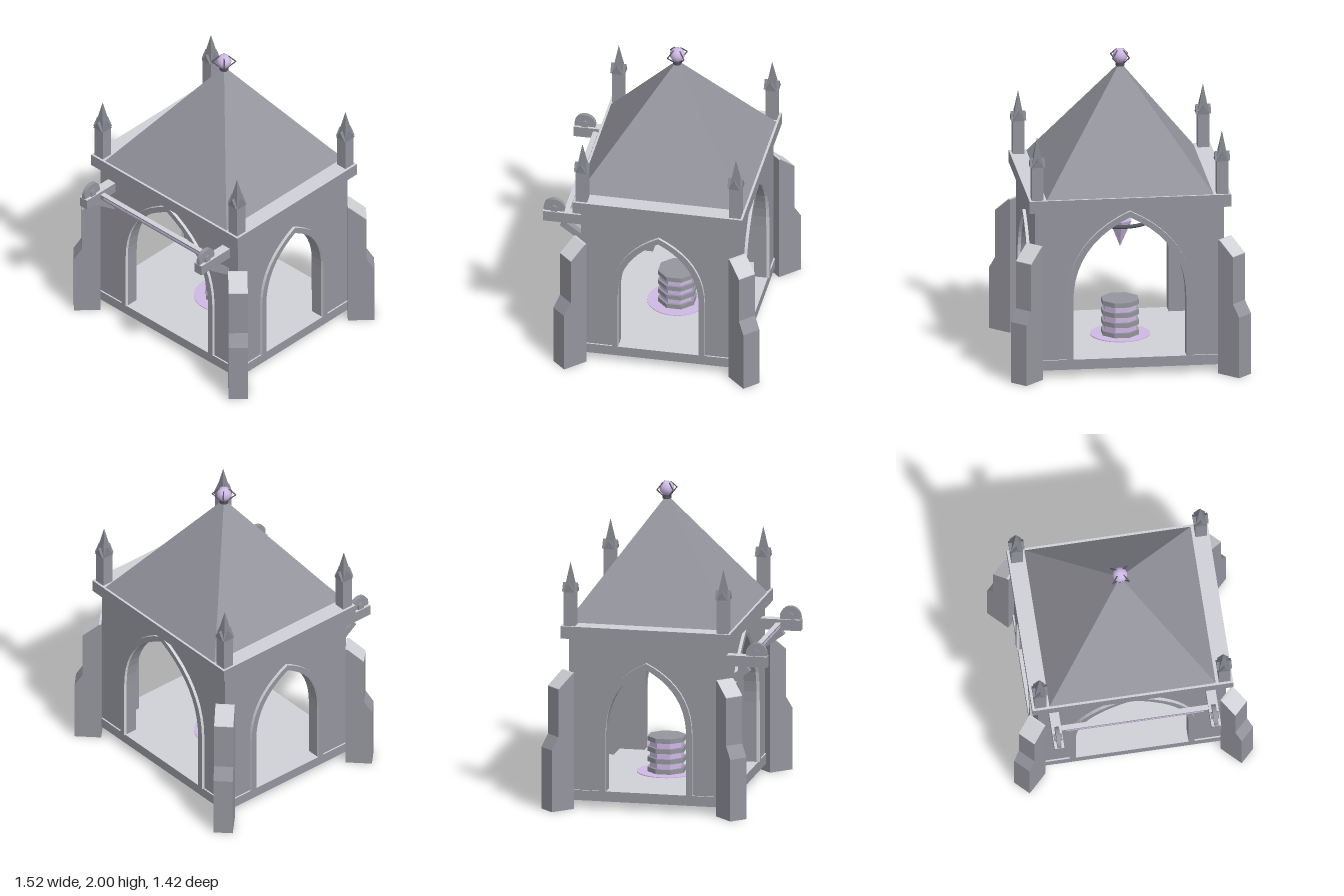
import * as THREE from 'three';

const mat = (name, color) => {
  const m = new THREE.MeshStandardMaterial({ color });
  m.name = name;
  return m;
};

export function createModel() {
  const stone = mat('stone', 0x94959d);
  const pale = mat('paleStone', 0xd0d1d6);
  const slate = mat('slate', 0x82848c);
  const iron = mat('iron', 0x55555d);
  const lilac = mat('lilac', 0xcdb8e4);
  const paleTop = [stone, stone, pale, stone, stone, stone]; // box with a pale upper face

  const model = new THREE.Group();
  model.name = 'shrine';
  const building = new THREE.Group();
  building.name = 'building';
  building.position.z = -0.045;
  model.add(building);

  const add = (parent, name, geo, material, x = 0, y = 0, z = 0) => {
    const m = new THREE.Mesh(geo, material);
    m.name = name;
    m.position.set(x, y, z);
    parent.add(m);
    return m;
  };
  const box = (w, h, d) => new THREE.BoxGeometry(w, h, d);
  const extrude = (shape, depth) =>
    new THREE.ExtrudeGeometry(shape, { depth, bevelEnabled: false, curveSegments: 10 });
  const polygon = (pts) => new THREE.Shape(pts.map(([x, y]) => new THREE.Vector2(x, y)));
  // four-sided pyramid with flat faces and its base at y = 0
  const pyramid = (half, h) => {
    const g = new THREE.ConeGeometry(half * Math.SQRT2, h, 4).rotateY(Math.PI / 4).toNonIndexed();
    g.computeVertexNormals();
    return g.translate(0, h / 2, 0);
  };
  // flat-sided prism with a face toward the front
  const octagon = (apothem, h) => {
    const r = apothem / Math.cos(Math.PI / 8);
    const g = new THREE.CylinderGeometry(r, r, h, 8).rotateY(Math.PI / 8).toNonIndexed();
    g.computeVertexNormals();
    return g;
  };
  const rod = (parent, name, a, b, r, material) => {
    const p = new THREE.Vector3(...a), q = new THREE.Vector3(...b);
    const m = add(parent, name, new THREE.CylinderGeometry(r, r, p.distanceTo(q), 8), material);
    m.position.copy(p).add(q).multiplyScalar(0.5);
    m.quaternion.setFromUnitVectors(new THREE.Vector3(0, 1, 0), q.sub(p).normalize());
  };

  // floor, eaves and roof
  add(building, 'floor', box(1.22, 0.065, 1.02), paleTop, 0, 0.0825, 0);
  add(building, 'eaves', box(1.28, 0.08, 1.09), paleTop, 0, 1.14, 0);
  add(building, 'roof', pyramid(0.53, 0.73), stone, 0, 1.18, 0);

  // walls with pointed arches and raised, pale-edged mouldings
  const base = 0.115;
  const arch = (s, w, spring, peak) => {
    const bend = spring + (peak - spring) * 0.68;
    s.lineTo(-w, base);
    s.lineTo(-w, spring);
    s.quadraticCurveTo(-w, bend, 0, peak);
    s.quadraticCurveTo(w, bend, w, spring);
    s.lineTo(w, base);
  };
  const wall = (name, half, dist, w, peak, turn) => {
    const g = new THREE.Group();
    g.name = name;
    g.rotation.y = turn;
    const s = new THREE.Shape();
    s.moveTo(-half, base);
    arch(s, w, 0.5, peak);
    s.lineTo(half, base);
    s.lineTo(half, 1.1);
    s.lineTo(-half, 1.1);
    add(g, 'wallPanel', extrude(s, 0.08), stone, 0, 0, dist - 0.08);
    const band = new THREE.Shape();
    band.moveTo(-w - 0.037, base);
    arch(band, w + 0.037, 0.51, peak + 0.04);
    band.lineTo(w, base);
    const inner = new THREE.Shape();
    inner.moveTo(-w, base);
    arch(inner, w, 0.5, peak);
    inner.getPoints(10).reverse().forEach((p) => band.lineTo(p.x, p.y));
    add(g, 'archMoulding', extrude(band, 0.02), [stone, pale], 0, 0, dist);
    building.add(g);
  };
  wall('frontWall', 0.6, 0.5, 0.36, 1.045, 0);
  wall('backWall', 0.6, 0.5, 0.36, 1.045, Math.PI);
  wall('leftWall', 0.42, 0.6, 0.26, 0.92, Math.PI / 2);
  wall('rightWall', 0.42, 0.6, 0.26, 0.92, -Math.PI / 2);

  // diagonal buttresses with pale caps, and roof pinnacles on the corners
  const buttress = extrude(polygon([[0, 0], [0.168, 0], [0.168, 0.4], [0.118, 0.48],
    [0.118, 0.788], [0.012, 0.878], [0, 0.878]]), 0.122).translate(0, 0, -0.061);
  const cap = extrude(polygon([[0, 0.878], [0.012, 0.878], [0.118, 0.788],
    [0.118, 0.792], [0.014, 0.882], [0, 0.882]]), 0.122).translate(0, 0, -0.061);
  const gable = extrude(polygon([[-0.036, 0], [0.036, 0], [0, 0.055]]), 0.096).translate(0, 0, -0.048);
  for (const sx of [-1, 1]) for (const sz of [-1, 1]) {
    for (const [name, geo, material] of [['buttress', buttress, stone], ['buttressCap', cap, pale]]) {
      const b = add(building, name, geo, material, sx * 0.6, 0, sz * 0.5);
      b.rotation.y = Math.atan2(-sz, sx);
    }
    const p = new THREE.Group();
    p.name = 'pinnacle';
    p.position.set(sx * 0.587, 1.18, sz * 0.493);
    add(p, 'pinnaclePost', box(0.074, 0.22, 0.074), stone, 0, 0.11, 0);
    add(p, 'pinnacleSpire', pyramid(0.036, 0.19), slate, 0, 0.22, 0);
    for (const turn of [0, Math.PI / 2]) {
      const g = add(p, 'pinnacleGable', gable, slate, 0, 0.22, 0);
      g.rotation.y = turn;
    }
    building.add(p);
  }

  // roof finial: orb held by four bent prongs
  add(building, 'finialCollar', new THREE.CylinderGeometry(0.03, 0.028, 0.025, 12), iron, 0, 1.9, 0);
  add(building, 'finialOrb', new THREE.SphereGeometry(0.047, 16, 12), lilac, 0, 1.953, 0);
  for (const sx of [-1, 1]) for (const sz of [-1, 1]) {
    const at = (r, y) => [sx * r, y, sz * r];
    rod(building, 'finialProng', at(0.018, 1.905), at(0.053, 1.95), 0.004, iron);
    rod(building, 'finialProng', at(0.053, 1.95), at(0.02, 1.992), 0.004, iron);
    // stays holding the hanging ring
    rod(building, 'ringStay', at(0.15, 0.885), at(0.265, 1.1), 0.007, iron);
  }

  // hanging ring and crystal
  add(building, 'hangingRing', new THREE.TorusGeometry(0.203, 0.013, 8, 32).rotateX(Math.PI / 2), iron, 0, 0.882, 0);
  for (const [name, h, y, flip] of [['crystalTop', 0.18, 0.96, 0], ['crystalBottom', 0.178, 0.781, Math.PI]]) {
    const g = new THREE.ConeGeometry(0.08, h, 6, 1, true).rotateX(flip).toNonIndexed();
    g.computeVertexNormals();
    add(building, name, g, lilac, 0, y, 0);
  }

  // banded pedestal on a round inlay
  add(building, 'floorInlay', new THREE.CylinderGeometry(0.19, 0.19, 0.005, 32), lilac, 0, 0.1175, 0);
  add(building, 'pedestalCore', octagon(0.1, 0.21), lilac, 0, 0.225, 0);
  for (let i = 0; i < 4; i++) {
    add(building, 'pedestalBand', octagon(0.115, 0.03), stone, 0, 0.135 + i * 0.0665, 0);
  }

  // front brackets with lugs, pins and braces
  const brace = extrude(polygon([[0.455, 0.81], [0.605, 0.92], [0.58, 0.955], [0.455, 0.865]]), 0.045)
    .translate(0, 0, -0.0225).rotateY(-Math.PI / 2);
  for (const x of [-0.5, 0.5]) {
    const b = new THREE.Group();
    b.name = 'bracket';
    b.position.x = x;
    add(b, 'bracketArm', box(0.062, 0.07, 0.26), paleTop, 0, 0.985, 0.584);
    add(b, 'bracketBrace', brace, stone);
    add(b, 'bracketLug', new THREE.CylinderGeometry(0.068, 0.068, 0.026, 24).rotateZ(Math.PI / 2), stone, 0, 1.036, 0.645);
    add(b, 'bracketPin', new THREE.CylinderGeometry(0.02, 0.02, 0.05, 12).rotateZ(Math.PI / 2), stone, 0, 1.043, 0.645);
    add(b, 'pinSeat', box(0.05, 0.03, 0.04), stone, 0, 1.028, 0.645);
    model.add(b);
  }

  // crossbar with lilac inlays front and back
  add(model, 'crossbar', box(0.94, 0.034, 0.034), paleTop, 0, 0.983, 0.573);
  for (const z of [0.556, 0.59]) add(model, 'crossbarInlay', box(0.88, 0.012, 0.004), lilac, 0, 0.983, z);

  return model;
}
